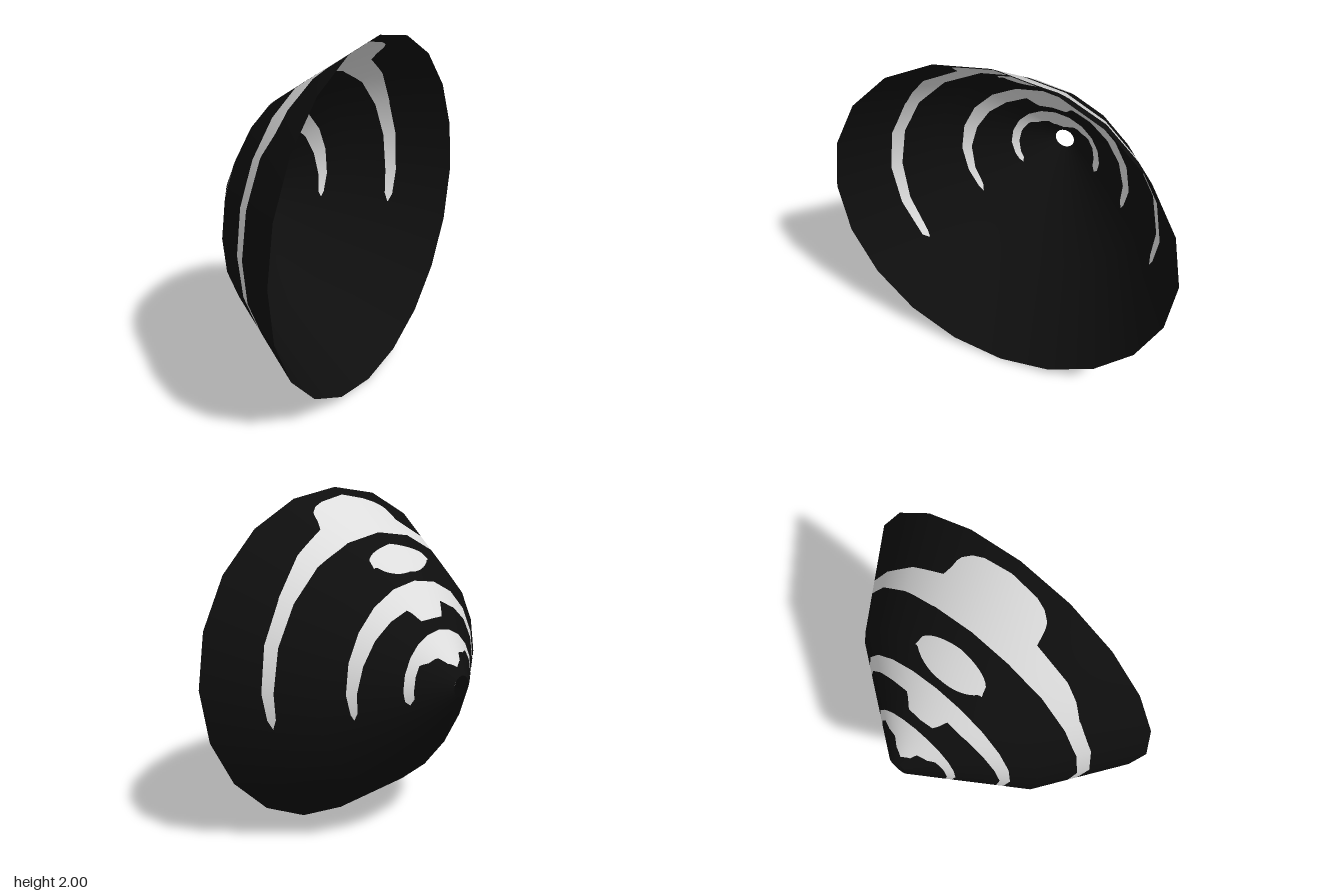
import * as THREE from 'three';

const RAD = Math.PI / 180;
const SIDES = 20;
const TIP = -0.48, RIDGE = -0.05, RIM = 0.48;

// Piecewise linear lookup in a list of [key, value, ...] rows.
function lookup(rows, key, col) {
  for (let i = 1; i < rows.length; i++) {
    const a = rows[i - 1], b = rows[i];
    if (key <= b[0]) return THREE.MathUtils.lerp(a[col], b[col], (key - a[0]) / (b[0] - a[0]));
  }
  return rows[rows.length - 1][col];
}

// Profile of the cone: x, radius, slope used for smooth normals.
const profile = [[TIP, 0.06, 1.37], [RIDGE, 0.65, 1.0], [RIM, 1.0, 0.66]];

// Stripes round the axis: degrees from the top (+ toward +z), start x, end x.
const outerStripe = [
  [-105, 0.17, 0.17], [-101, 0.15, 0.19], [-90, 0.14, 0.195], [-55, 0.135, 0.205], [-40, 0.135, 0.235],
  [-30, 0.135, 0.255], [-21, 0.13, 0.27], [-19, 0.13, 0.31], [-17.5, 0.13, 0.36], [-14, 0.13, 0.395],
  [-10, 0.13, 0.413], [0, 0.13, 0.42], [10, 0.13, 0.413], [14, 0.13, 0.395], [17.5, 0.13, 0.36],
  [19, 0.13, 0.31], [20, 0.13, 0.27], [37, 0.135, 0.26], [45, 0.135, 0.245], [53, 0.135, 0.21],
  [65, 0.135, 0.205], [90, 0.14, 0.2], [110, 0.148, 0.195], [126, 0.155, 0.19], [129, 0.17, 0.17]];
const middleStripe = [
  [-107, -0.155, -0.155], [-103, -0.168, -0.146], [-90, -0.174, -0.14], [-68, -0.187, -0.138],
  [-50, -0.197, -0.138], [-33, -0.208, -0.138], [-20, -0.215, -0.138], [-18, -0.23, -0.138],
  [-14.5, -0.268, -0.138], [0, -0.275, -0.138], [13, -0.268, -0.138], [15.5, -0.25, -0.138],
  [18, -0.21, -0.138], [33, -0.208, -0.138], [51, -0.197, -0.138], [68, -0.187, -0.138],
  [90, -0.174, -0.14], [122, -0.168, -0.15], [127, -0.157, -0.157]];
const innerStripe = [
  [-108, -0.335, -0.335], [-102, -0.35, -0.32], [-90, -0.352, -0.318], [-57, -0.352, -0.317],
  [-47, -0.375, -0.316], [-30, -0.39, -0.316], [-22, -0.425, -0.316], [0, -0.45, -0.316],
  [22, -0.425, -0.316], [25, -0.395, -0.316], [42, -0.38, -0.316], [50, -0.358, -0.316],
  [65, -0.35, -0.317], [90, -0.346, -0.318], [118, -0.345, -0.328], [124, -0.336, -0.336]];

// Where each column is cut along x; the colour changes at the cuts.
function cuts(deg) {
  const edge = (rows) => {
    const inside = deg >= rows[0][0] && deg <= rows[rows.length - 1][0];
    const key = THREE.MathUtils.clamp(deg, rows[0][0], rows[rows.length - 1][0]);
    const lo = lookup(rows, key, 1);
    return [lo, inside ? lookup(rows, key, 2) : lo];
  };
  let spot = [RIDGE, RIDGE];
  if (Math.abs(deg) <= 19) {
    const k = Math.sqrt(1 - (deg / 19) ** 2);
    spot = [Math.min(RIDGE, -0.03 - 0.075 * k), -0.03 + 0.075 * k];
  }
  return [TIP, ...edge(innerStripe), ...edge(middleStripe), spot[0], RIDGE, spot[1], ...edge(outerStripe), RIM];
}
const parts = ['shell', 'innerStripe', 'shell', 'middleStripe', 'shell', 'spot', 'spot', 'shell', 'outerStripe', 'shell'];

export function createModel() {
  const group = new THREE.Group();
  group.name = 'conicalShell';
  const black = new THREE.MeshStandardMaterial({ name: 'black', color: 0x0e0e0e, side: THREE.DoubleSide });
  const pale = new THREE.MeshStandardMaterial({ name: 'paleGrey', color: 0xdddddd, side: THREE.DoubleSide });

  const data = {};
  for (const name of parts) data[name] = { pos: [], nor: [] };

  // One point on the twenty-sided cone with its smooth normal.
  const addPoint = (out, deg, x) => {
    const step = 360 / SIDES;
    const local = THREE.MathUtils.euclideanModulo(deg, step) - step / 2;
    const r = lookup(profile, x, 1) * Math.cos(step / 2 * RAD) / Math.cos(local * RAD);
    const c = Math.cos(deg * RAD), s = Math.sin(deg * RAD);
    out.pos.push(x, 1 + r * c, r * s);
    const n = new THREE.Vector3(-lookup(profile, x, 2), c, s).normalize();
    out.nor.push(n.x, n.y, n.z);
  };

  // Narrow columns round the axis, each split into coloured pieces.
  for (let a = -180; a < 180; a++) {
    const b = a + 1, ca = cuts(a), cb = cuts(b);
    parts.forEach((name, i) => {
      const out = data[name];
      if (cb[i + 1] - cb[i] > 1e-6) {
        addPoint(out, a, ca[i]); addPoint(out, b, cb[i]); addPoint(out, b, cb[i + 1]);
      }
      if (ca[i + 1] - ca[i] > 1e-6) {
        addPoint(out, a, ca[i]); addPoint(out, b, cb[i + 1]); addPoint(out, a, ca[i + 1]);
      }
    });
  }

  for (const [name, { pos, nor }] of Object.entries(data)) {
    const geometry = new THREE.BufferGeometry();
    geometry.setAttribute('position', new THREE.Float32BufferAttribute(pos, 3));
    geometry.setAttribute('normal', new THREE.Float32BufferAttribute(nor, 3));
    const mesh = new THREE.Mesh(geometry, name === 'shell' ? black : pale);
    mesh.name = name;
    group.add(mesh);
  }
  return group;
}
